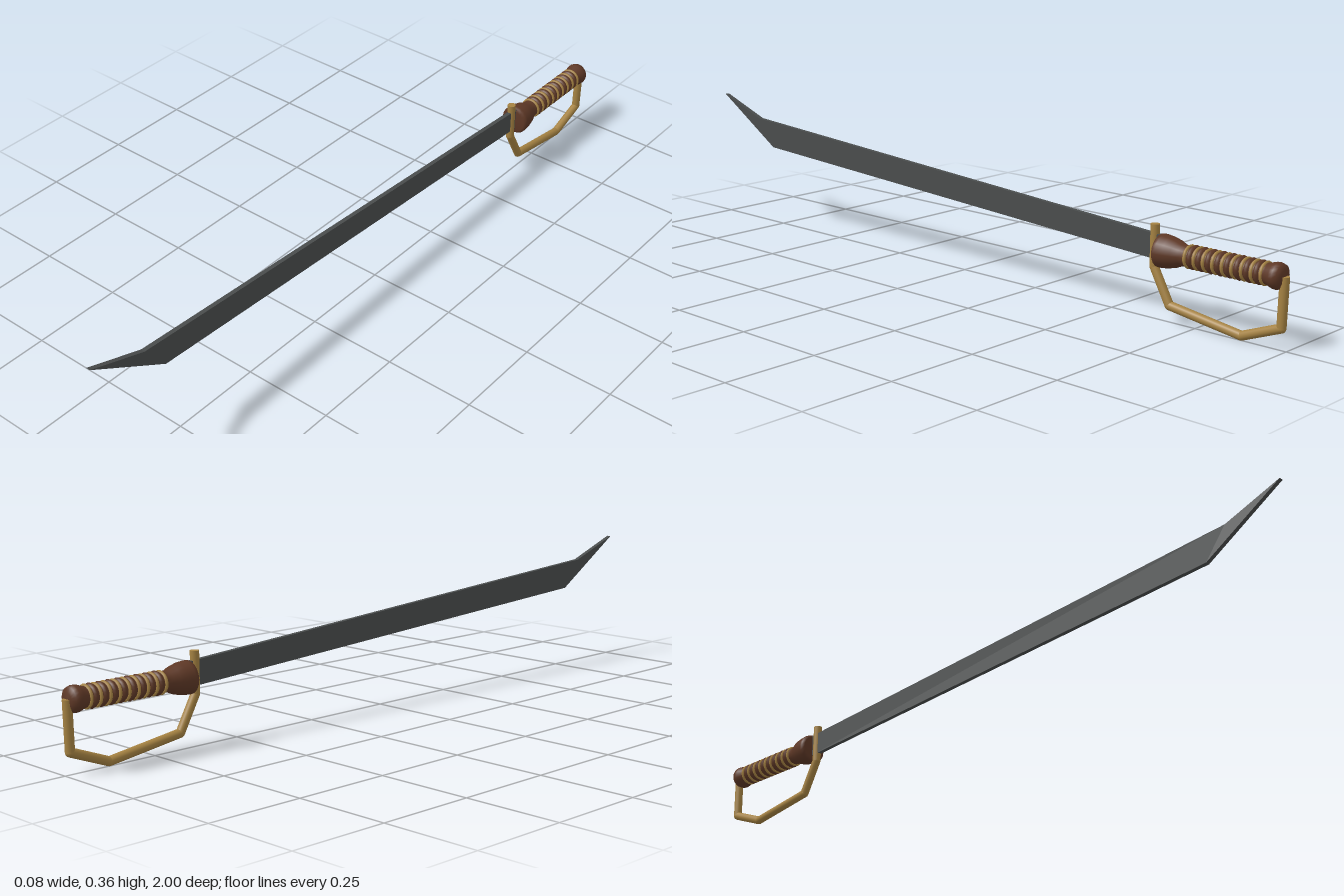
import * as THREE from 'three';

const material = (name, color) => {
  const m = new THREE.MeshStandardMaterial({ color });
  m.name = name;
  return m;
};

export function createModel() {
  const steel = material('dark steel', 0x4a4d4d);
  const wood = material('brown wood', 0x5e3826);
  const brass = material('brass', 0xa58242);
  const model = new THREE.Group();
  const AXIS_Y = 0.173;

  const add = (name, geometry, mat, parent = model) => {
    const mesh = new THREE.Mesh(geometry, mat);
    mesh.name = name;
    parent.add(mesh);
    return mesh;
  };

  // Blade: flat slab drawn as (z, y), turned so its length runs along z
  const outline = [[-0.645, 0.149], [0.78, 0.229], [1.0, 0.365], [0.84, 0.308], [-0.645, 0.211]];
  const bladeGeometry = new THREE.ExtrudeGeometry(
    new THREE.Shape(outline.map(([z, y]) => new THREE.Vector2(z, y))),
    { depth: 0.012, bevelEnabled: false });
  bladeGeometry.translate(0, 0, -0.006).rotateY(-Math.PI / 2);
  add('blade', bladeGeometry, steel);

  // Grip: turned wood with a flared collar in front and a rounded pommel behind
  const profile = [
    [0, 0.99], [0.017, 0.988], [0.029, 0.982], [0.032, 0.972], [0.031, 0.962], [0.026, 0.948],
    [0.025, 0.94], [0.025, 0.725], [0.027, 0.71], [0.034, 0.694], [0.039, 0.675],
    [0.041, 0.655], [0.041, 0.646], [0.034, 0.641], [0, 0.64],
  ].map(([r, d]) => new THREE.Vector2(r, -d));
  const gripGeometry = new THREE.LatheGeometry(profile, 20);
  gripGeometry.rotateX(Math.PI / 2).translate(0, AXIS_Y, 0);
  add('grip', gripGeometry, wood);

  // Wrap: alternating wooden ridges and thin brass rings
  const wrap = new THREE.Group();
  wrap.name = 'gripWrap';
  model.add(wrap);
  const COUNT = 9;
  const STEP = 0.0262;
  for (let i = 0; i < COUNT; i++) {
    const z = -0.73 - i * STEP;
    add('brassRing', new THREE.TorusGeometry(0.0255, 0.0042, 6, 20), brass, wrap)
      .position.set(0, AXIS_Y, z);
    if (i < COUNT - 1) {
      const ridge = add('woodRidge', new THREE.TorusGeometry(0.0225, 0.0075, 8, 20), wood, wrap);
      ridge.position.set(0, AXIS_Y, z - STEP / 2);
    }
  }

  // Knuckle guard: straight round bars joined by round elbows, as (y, z)
  const R = 0.0115;
  const path = [[0.235, -0.626], [0.13, -0.626], [0.042, -0.674], [0.0125, -0.88],
    [0.053, -0.985], [0.175, -0.988]].map(([y, z]) => new THREE.Vector3(0, y, z));
  const guard = new THREE.Group();
  guard.name = 'knuckleGuard';
  model.add(guard);
  const up = new THREE.Vector3(0, 1, 0);
  for (let i = 0; i < path.length - 1; i++) {
    const a = path[i];
    const b = path[i + 1];
    const bar = add('guardBar', new THREE.CylinderGeometry(R, R, a.distanceTo(b), 14), brass, guard);
    bar.position.copy(a).lerp(b, 0.5);
    bar.quaternion.setFromUnitVectors(up, b.clone().sub(a).normalize());
    if (i > 0) add('guardElbow', new THREE.SphereGeometry(R, 14, 10), brass, guard).position.copy(a);
  }

  return model;
}
